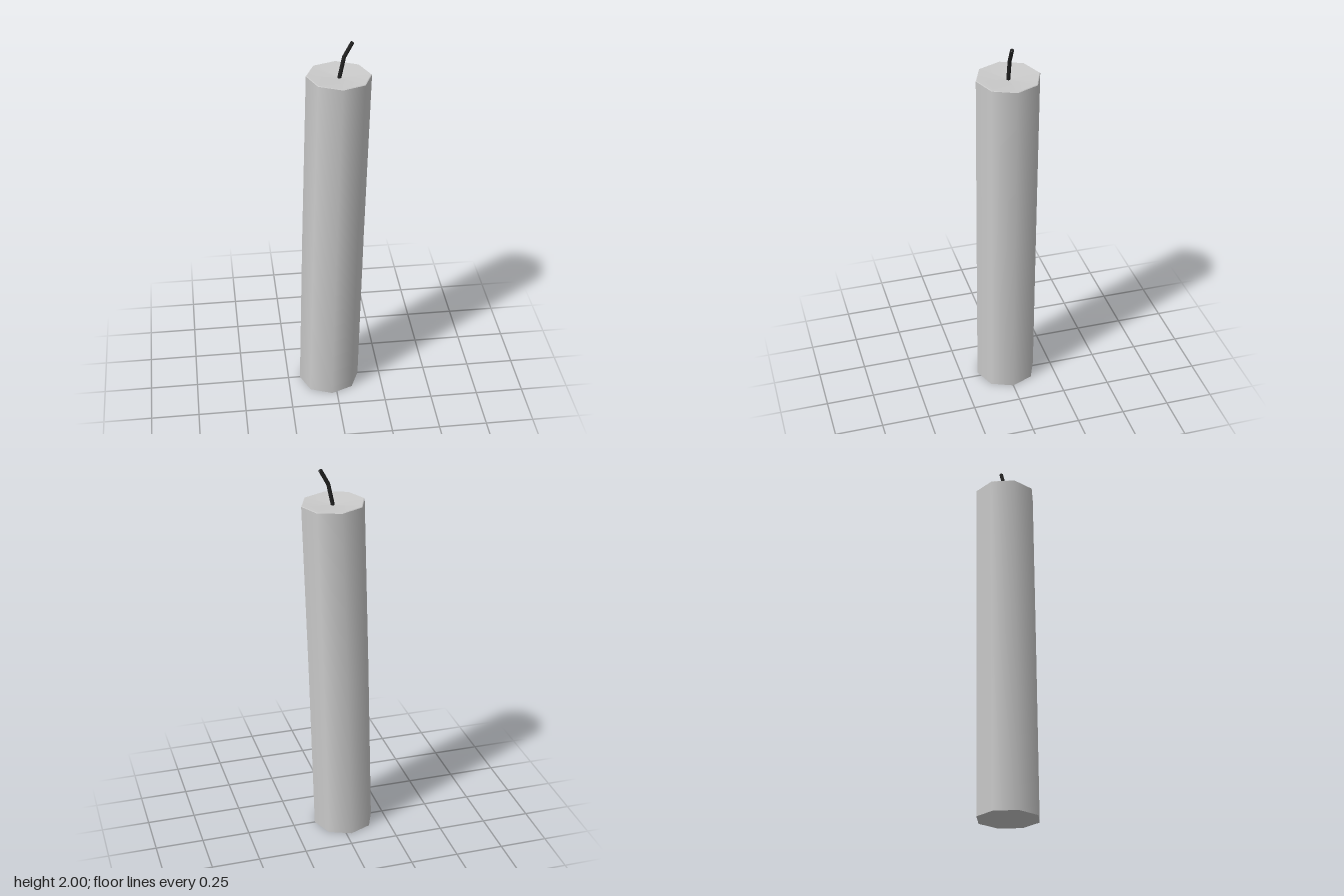
import * as THREE from 'three';

const HEIGHT = 1.827, RADIUS = 0.16, SIDES = 8;

// Gentle sideways lean: shifts each level along x and tilts it a little towards the top
function lean(geometry) {
  const p = geometry.attributes.position;
  for (let i = 0; i < p.count; i++) {
    const x = p.getX(i), y = p.getY(i), t = y / HEIGHT;
    p.setX(i, x - 0.027 + 0.044 * t + 0.009 * t * t);
    p.setY(i, y - 0.03 * x * t);
  }
  geometry.computeBoundingSphere();
  return geometry;
}

export function createModel() {
  const candle = new THREE.Group();
  candle.name = 'candle';
  const wax = new THREE.MeshStandardMaterial({ color: 0xcccccc });
  const char = new THREE.MeshStandardMaterial({ color: 0x222222 });

  const add = (name, geometry, material) => {
    const mesh = new THREE.Mesh(geometry, material);
    mesh.name = name;
    candle.add(mesh);
  };
  const turn = (points) =>
    lean(new THREE.LatheGeometry(points.map(([r, y]) => new THREE.Vector2(r, y)), SIDES));

  // Octagonal wax body, smooth around
  add('waxBody', turn([[RADIUS, 0], [RADIUS, HEIGHT / 2], [RADIUS, HEIGHT - 0.004]]), wax);

  // Softened rim and shallow melted hollow
  add('meltedTop', turn([[RADIUS, HEIGHT - 0.004], [RADIUS * 0.97, HEIGHT], [0, HEIGHT - 0.015]]), wax);

  // Flat underside
  add('base', turn([[0, 0], [RADIUS, 0]]), wax);

  // Bent wick: two straight lengths with closed ends
  const wickPath = new THREE.CurvePath();
  const bends = [[0.026, 1.805], [0.05, 1.92], [0.09, 1.994]].map(([x, y]) => new THREE.Vector3(x, y, 0));
  for (let i = 0; i < 2; i++) wickPath.add(new THREE.LineCurve3(bends[i], bends[i + 1]));
  add('wick', new THREE.TubeGeometry(wickPath, 12, 0.01, 8), char);

  const tip = new THREE.CircleGeometry(0.01, 8);
  const direction = bends[2].clone().sub(bends[1]).normalize();
  tip.applyQuaternion(new THREE.Quaternion().setFromUnitVectors(new THREE.Vector3(0, 0, 1), direction));
  tip.translate(bends[2].x, bends[2].y, 0);
  add('wickTip', tip, char);

  return candle;
}
